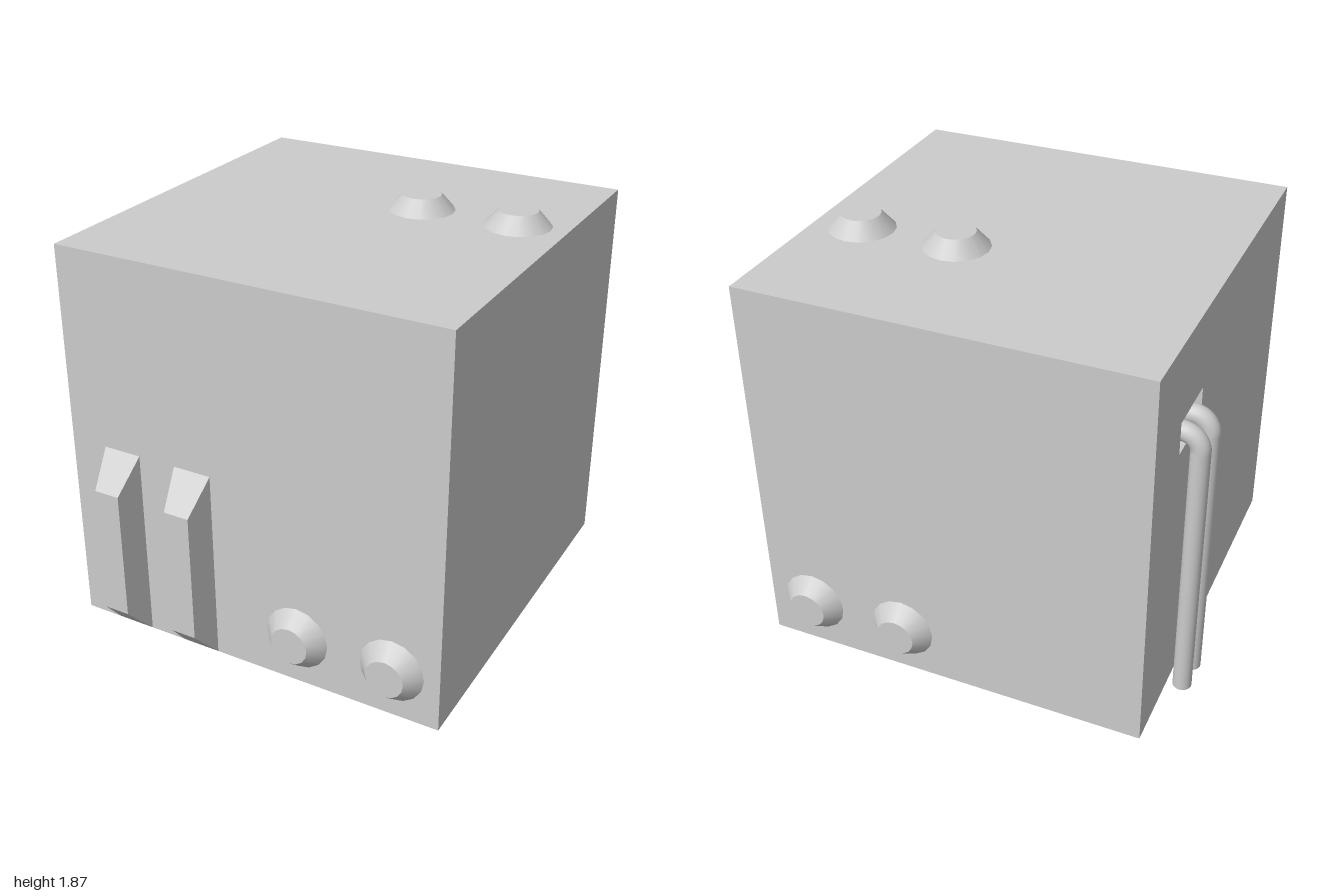
import * as THREE from 'three';
import { mergeGeometries } from 'three/addons/utils/BufferGeometryUtils.js';

const grey = new THREE.MeshStandardMaterial({ color: 0xcccccc });
const inner = new THREE.MeshStandardMaterial({ color: 0xcccccc, side: THREE.BackSide });

// Outer limits of the main block
const L = -0.845, R = 0.95, H = 1.8, BACK = -0.93, FRONT = 0.87;
// Square-cut socket in the side where the pipes enter
const socket = { z0: -0.62, z1: -0.34, y0: 1.28, y1: 1.43, depth: 0.2 };

function add(parent, name, geometry, material = grey) {
  const mesh = new THREE.Mesh(geometry, material);
  mesh.name = name;
  parent.add(mesh);
  return mesh;
}

// Box without its -x face (second face in the index)
function boxOpenLeft(x0, x1, y0, y1, z0, z1) {
  const g = new THREE.BoxGeometry(x1 - x0, y1 - y0, z1 - z0);
  g.setIndex([...g.index.array].filter((_, i) => i < 6 || i >= 12));
  g.clearGroups();
  return g.translate((x0 + x1) / 2, (y0 + y1) / 2, (z0 + z1) / 2);
}

function rectangle(path, a, b, c, d) {
  return path.moveTo(a, c).lineTo(b, c).lineTo(b, d).lineTo(a, d).closePath();
}

// Truncated pyramid rib: a box whose front face is drawn in
function ribGeometry() {
  const g = new THREE.BoxGeometry(0.18, 0.9, 0.13);
  const p = g.attributes.position;
  for (let i = 0; i < p.count; i++) {
    if (p.getZ(i) > 0) {
      p.setX(i, Math.sign(p.getX(i)) * 0.06);
      p.setY(i, Math.sign(p.getY(i)) * 0.303);
    }
  }
  g.computeVertexNormals();
  return g.translate(0, 0.45, FRONT + 0.065);
}

// Upright pipe, quarter bend and short run into the socket
function pipeGeometry() {
  const r = 0.0425, bend = 0.08, x = -0.912, y = 1.27;
  const end = L + socket.depth, start = x + bend;
  return mergeGeometries([
    new THREE.CylinderGeometry(r, r, y, 20).translate(x, y / 2, 0),
    new THREE.TorusGeometry(bend, r, 20, 12, Math.PI / 2).rotateZ(Math.PI / 2).translate(start, y, 0),
    new THREE.CylinderGeometry(r, r, end - start, 20).rotateZ(Math.PI / 2)
      .translate((start + end) / 2, y + bend, 0),
  ]);
}

export function createModel() {
  const model = new THREE.Group();
  model.name = 'storageBlock';

  // Main block with a socket cut in its side
  const block = new THREE.Group();
  block.name = 'block';
  model.add(block);
  add(block, 'blockShell', boxOpenLeft(L, R, 0, H, BACK, FRONT));
  const side = rectangle(new THREE.Shape(), BACK, FRONT, 0, H);
  side.holes.push(rectangle(new THREE.Path(), socket.z0, socket.z1, socket.y0, socket.y1));
  add(block, 'socketSide', new THREE.ShapeGeometry(side).rotateY(-Math.PI / 2).translate(L, 0, 0));
  add(block, 'socketLining',
    boxOpenLeft(L, L + socket.depth, socket.y0, socket.y1, socket.z0, socket.z1), inner);

  // Bevelled ribs on the front
  const rib = ribGeometry();
  for (const x of [-0.58, -0.22]) add(model, 'frontRib', rib).position.x = x;

  // Pairs of conical caps on top, front and back
  const cap = new THREE.CylinderGeometry(0.087, 0.148, 0.07, 16).translate(0, 0.035, 0);
  for (const x of [0.28, 0.73]) {
    add(model, 'topCap', cap).position.set(x, H, -0.255);
    const front = add(model, 'frontCap', cap);
    front.position.set(x, 0.225, FRONT);
    front.rotation.x = Math.PI / 2;
    const back = add(model, 'backCap', cap);
    back.position.set(x, 0.225, BACK);
    back.rotation.x = -Math.PI / 2;
  }

  // Twin pipes on the side
  const pipe = pipeGeometry();
  for (const z of [-0.55, -0.415]) add(model, 'sidePipe', pipe).position.z = z;

  return model;
}
